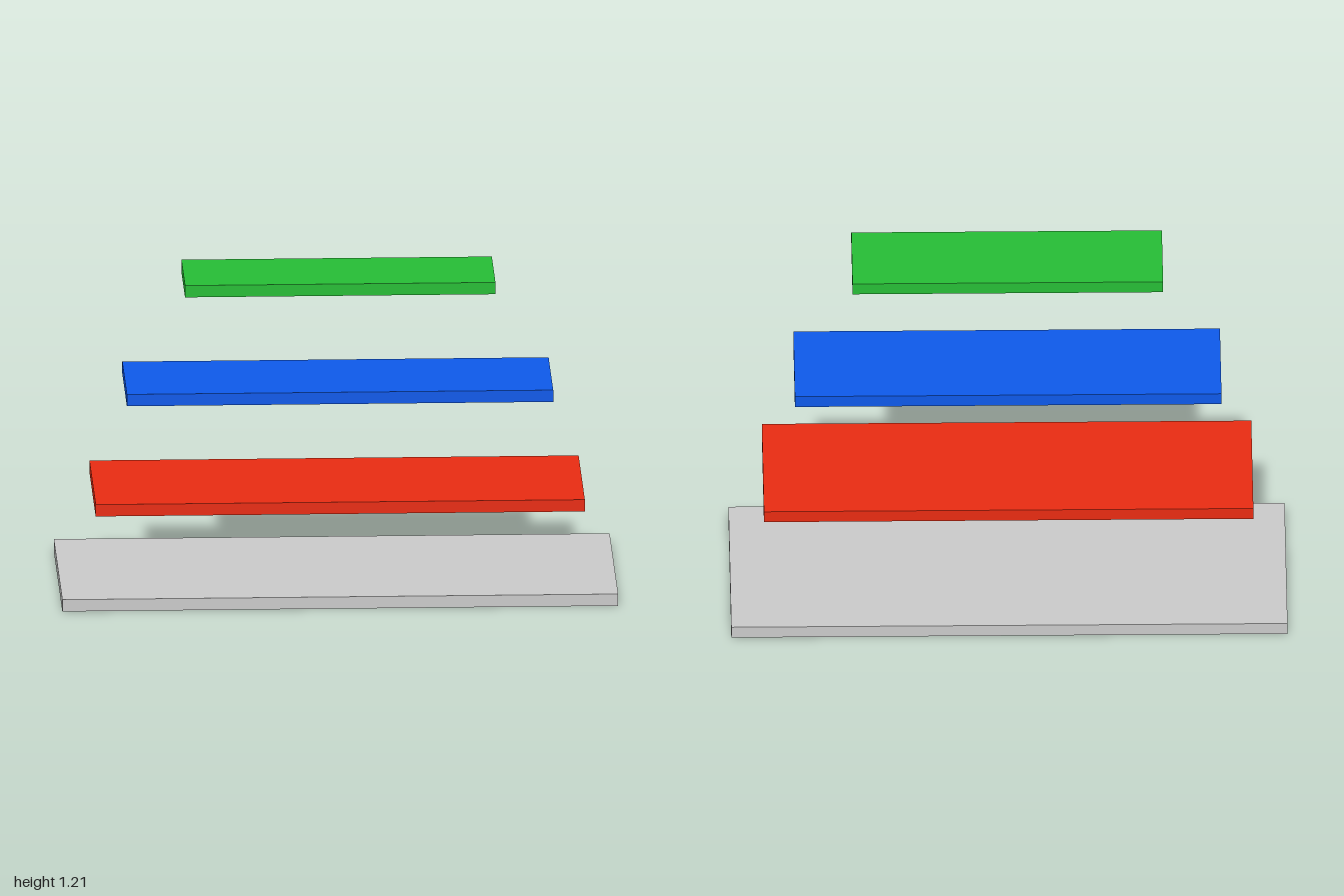
import * as THREE from 'three';

// Stacked floating slabs: name, color, width, bottom height, back z, front z
const SLABS = [
  ['baseSlab', 0xcccccc, 2.0, 0, -0.404, 0.404],
  ['lowerSlab', 0xeb2c12, 1.76, 0.353, -0.187, 0.402],
  ['middleSlab', 0x0e5aec, 1.534, 0.758, -0.054, 0.383],
  ['topSlab', 0x27bf36, 1.117, 1.167, 0.055, 0.4],
];
const THICKNESS = 0.044;

export function createModel() {
  const group = new THREE.Group();
  group.name = 'floatingSlabs';
  for (const [name, color, width, bottom, back, front] of SLABS) {
    const slab = new THREE.Mesh(
      new THREE.BoxGeometry(width, THICKNESS, front - back),
      new THREE.MeshStandardMaterial({ color }),
    );
    slab.name = name;
    slab.position.set(0, bottom + THICKNESS / 2, (back + front) / 2);
    group.add(slab);
  }
  return group;
}
